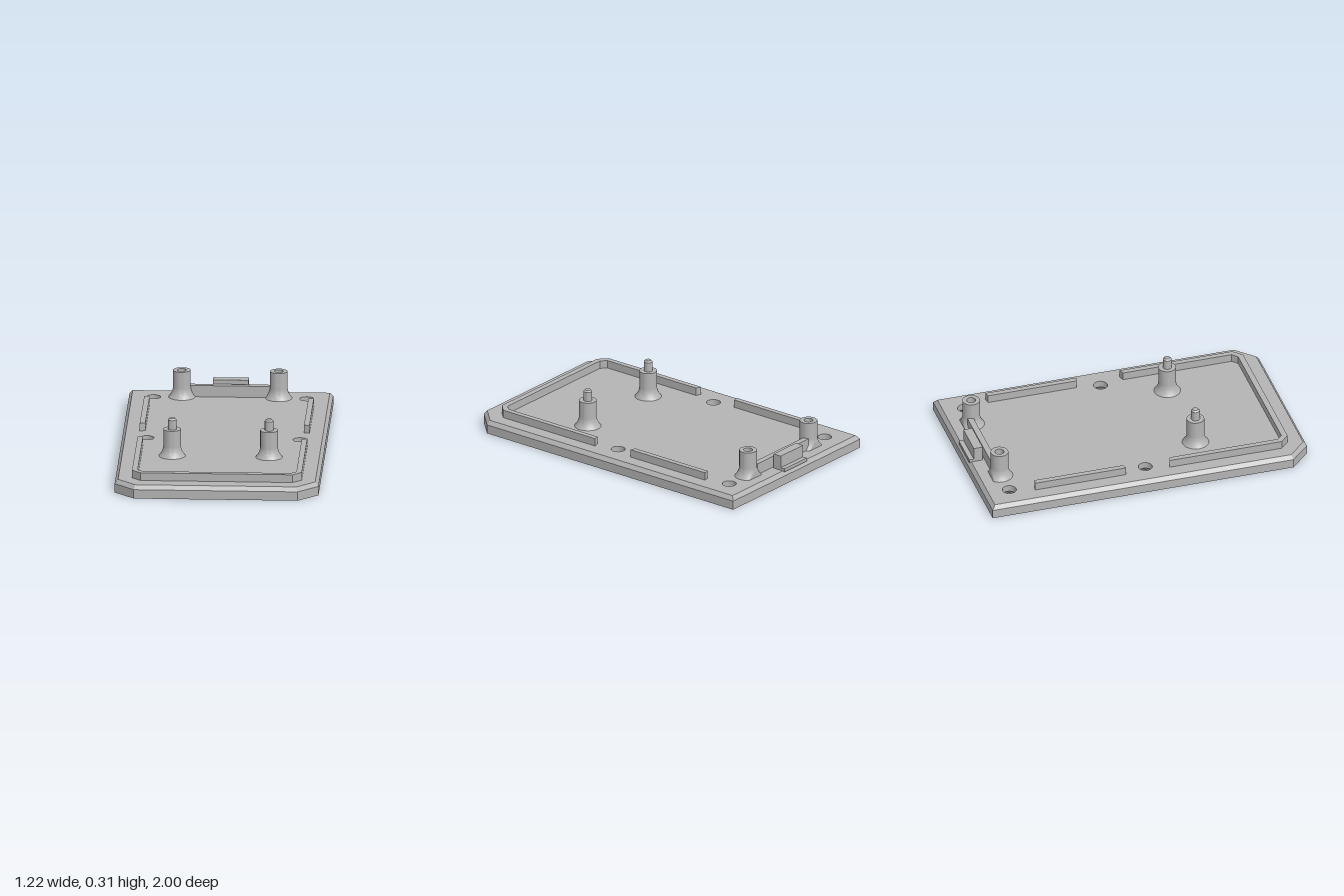
import * as THREE from 'three';
import { toCreasedNormals } from 'three/addons/utils/BufferGeometryUtils.js';

const TOP = 0.08;
const grey = new THREE.MeshStandardMaterial({ color: 0xb4b4b4, side: THREE.DoubleSide });
grey.name = 'grey plastic';

// Plate outline in (x, z), square at the back and clipped at the front corners
const outline = (d) => {
  const k = d * 0.414;
  return [[-0.61 + d, -1 + d], [0.61 - d, -1 + d], [0.61 - d, 0.88 - k],
    [0.49 - k, 1 - d], [-0.49 + k, 1 - d], [-0.61 + d, 0.88 - k]];
};

// Extrude an (x, z) outline with round holes [x, z, r] from y0 up to y1
function slab(points, y0, y1, holes = []) {
  const shape = new THREE.Shape(points.map(([x, z]) => new THREE.Vector2(x, z)));
  for (const [x, z, r] of holes) {
    shape.holes.push(new THREE.Path().absarc(x, z, r, 0, Math.PI * 2, true));
  }
  const geo = new THREE.ExtrudeGeometry(shape, { depth: y1 - y0, bevelEnabled: false, curveSegments: 32 });
  return geo.rotateX(Math.PI / 2).translate(0, y1, 0);
}

function lathe(profile) {
  return new THREE.LatheGeometry(profile.map(([r, y]) => new THREE.Vector2(r, y)), 40);
}

export function createModel() {
  const model = new THREE.Group();
  model.name = 'mountingPlate';
  const add = (name, geo, x = 0, y = 0, z = 0) => {
    const mesh = new THREE.Mesh(geo, grey);
    mesh.name = name;
    mesh.position.set(x, y, z);
    model.add(mesh);
    return mesh;
  };

  const screws = [[-0.458, -0.85], [0.458, -0.85], [-0.458, 0], [0.458, 0]];
  const discs = [[-0.24, -0.635], [0.24, -0.635], [-0.24, 0.625], [0.24, 0.625]];
  const bores = screws.map(([x, z]) => [x, z, 0.042]);

  // Underside with countersinks and four shallow round pockets
  const pockets = [...screws.map(([x, z]) => [x, z, 0.08]), ...discs.map(([x, z]) => [x, z, 0.129])];
  add('plateBottom', slab(outline(0), 0, 0.04, pockets));
  add('plateMiddle', slab(outline(0), 0.04, 0.055, bores));
  screws.forEach(([x, z]) => add('countersink', toCreasedNormals(lathe([[0.042, 0.04], [0.08, 0]]), 0.5), x, 0, z));

  // Top layer: outer rim drawn inwards for the chamfer
  const topGeo = slab(outline(0), 0.055, TOP, bores);
  const pos = topGeo.attributes.position;
  const from = outline(0), to = outline(0.02);
  for (let i = 0; i < pos.count; i++) {
    if (pos.getY(i) < TOP - 0.001) continue;
    const j = from.findIndex(([x, z]) => Math.hypot(x - pos.getX(i), z - pos.getZ(i)) < 0.001);
    if (j >= 0) pos.setXYZ(i, to[j][0], TOP, to[j][1]);
  }
  topGeo.computeVertexNormals();
  add('plateTop', topGeo);

  // Raised lip: U-shaped front wall and two side rails
  add('frontLip', slab([
    [-0.508, 0.135], [-0.508, 0.838], [-0.455, 0.89], [0.455, 0.89], [0.508, 0.838], [0.508, 0.135],
    [0.475, 0.145], [0.475, 0.824], [0.442, 0.855], [-0.442, 0.855], [-0.475, 0.824], [-0.475, 0.145],
  ], TOP, 0.128));
  for (const s of [-1, 1]) {
    const rail = [[0.508, -0.705], [0.508, -0.135], [0.475, -0.145], [0.475, -0.697]];
    add('sideRail', slab(rail.map(([x, z]) => [s * x, z]), TOP, 0.128));
  }

  // Posts with a concave flared foot
  const R = 0.053, H = 0.247;
  const foot = [];
  for (let i = 0; i <= 8; i++) {
    const t = i / 8;
    foot.push([R + 0.027 * (1 - t) ** 2, TOP + 0.065 * t]);
  }
  const pinPost = toCreasedNormals(lathe([...foot, [R, H], [0.026, H], [0.026, 0.305], [0.017, 0.315], [0, 0.315]]), 0.6);
  const socketGeo = lathe([...foot, [R, H], [0.027, H], [0.027, 0.13], [0, 0.13]]);
  const sp = socketGeo.attributes.position;
  for (let i = 0; i < sp.count; i++) sp.setZ(i, Math.max(sp.getZ(i), -0.056)); // flat back of the foot
  const socketPost = toCreasedNormals(socketGeo, 0.6);
  for (const s of [-1, 1]) {
    add('pinPost', pinPost, s * 0.29, 0, 0.365);
    add('socketPost', socketPost, s * 0.29, 0, -0.86);
  }

  // Cross rail between the rear posts
  add('crossRail', new THREE.BoxGeometry(0.49, 0.07, 0.036), 0, 0.115, -0.879);

  // Rear latch: upright block with a small outward toe
  add('latchBlock', new THREE.BoxGeometry(0.214, 0.094, 0.055), 0, 0.125, -0.937);
  add('latchToe', new THREE.BoxGeometry(0.214, 0.021, 0.03), 0, 0.0865, -0.978);

  return model;
}
